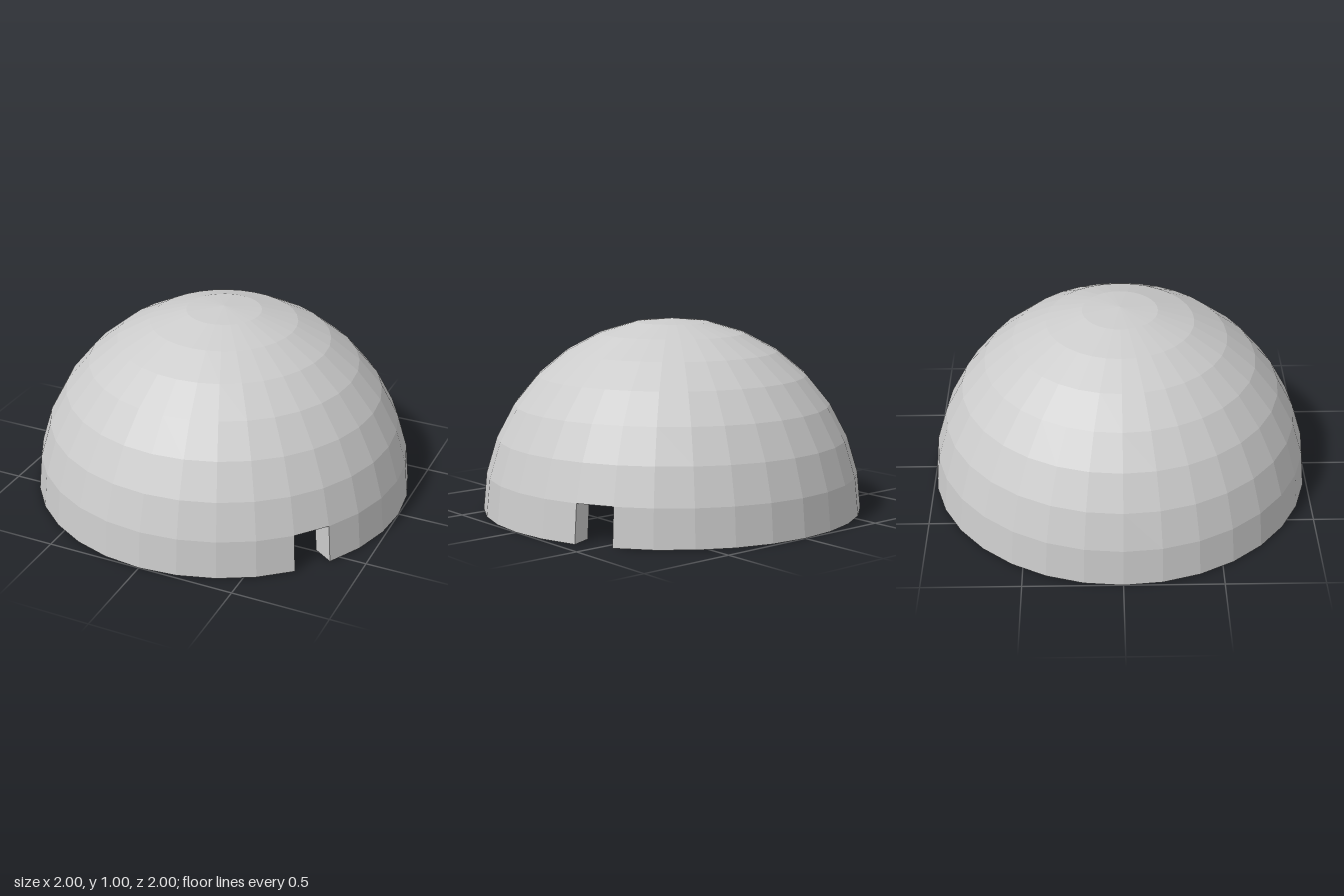
import * as THREE from 'three';

const SEGMENTS = 32, RINGS = 8;
const STEP = (Math.PI * 2) / SEGMENTS;
const OUTER = 1, INNER = 0.88;
const NOTCHES = [3, 29]; // segments left open in the lowest ring

// Corner of the dome grid: i steps around from +x towards +z, j steps up
function corner(radius, [i, j]) {
  const around = (i % SEGMENTS) * STEP;
  if (j === RINGS) return new THREE.Vector3(0, radius, 0);
  const r = radius * Math.cos(j * STEP);
  return new THREE.Vector3(r * Math.cos(around), radius * Math.sin(j * STEP), r * Math.sin(around));
}

// Whether the wall is solid in a grid cell
function isSolid(i, j) {
  if (j < 0) return false;
  return j > 0 || !NOTCHES.includes((i + SEGMENTS) % SEGMENTS);
}

function createShellGeometry() {
  const points = [];
  const triangle = (a, b, c) => {
    if (!a.equals(b) && !b.equals(c) && !c.equals(a)) points.push(a, b, c);
  };
  const quad = (a, b, c, d) => {
    triangle(a, b, c);
    triangle(a, c, d);
  };

  for (let j = 0; j < RINGS; j++) {
    for (let i = 0; i < SEGMENTS; i++) {
      if (!isSolid(i, j)) continue;
      const cell = [[i, j], [i, j + 1], [i + 1, j + 1], [i + 1, j]];
      const out = cell.map((c) => corner(OUTER, c));
      const inn = cell.map((c) => corner(INNER, c));

      // Outer and inner skins
      quad(out[0], out[1], out[2], out[3]);
      quad(inn[0], inn[3], inn[2], inn[1]);

      // Bottom rim and notch sides, wherever the next cell is open
      const neighbours = [[i - 1, j], [i, j + 1], [i + 1, j], [i, j - 1]];
      neighbours.forEach(([ni, nj], k) => {
        if (isSolid(ni, nj)) return;
        const n = (k + 1) % 4;
        quad(out[n], out[k], inn[k], inn[n]);
      });
    }
  }

  const geometry = new THREE.BufferGeometry().setFromPoints(points);
  geometry.computeVertexNormals();
  return geometry;
}

export function createModel() {
  const group = new THREE.Group();
  group.name = 'notchedDome';
  const material = new THREE.MeshStandardMaterial({ color: 0xcccccc, flatShading: true });
  const shell = new THREE.Mesh(createShellGeometry(), material);
  shell.name = 'domeShell';
  group.add(shell);
  return group;
}
